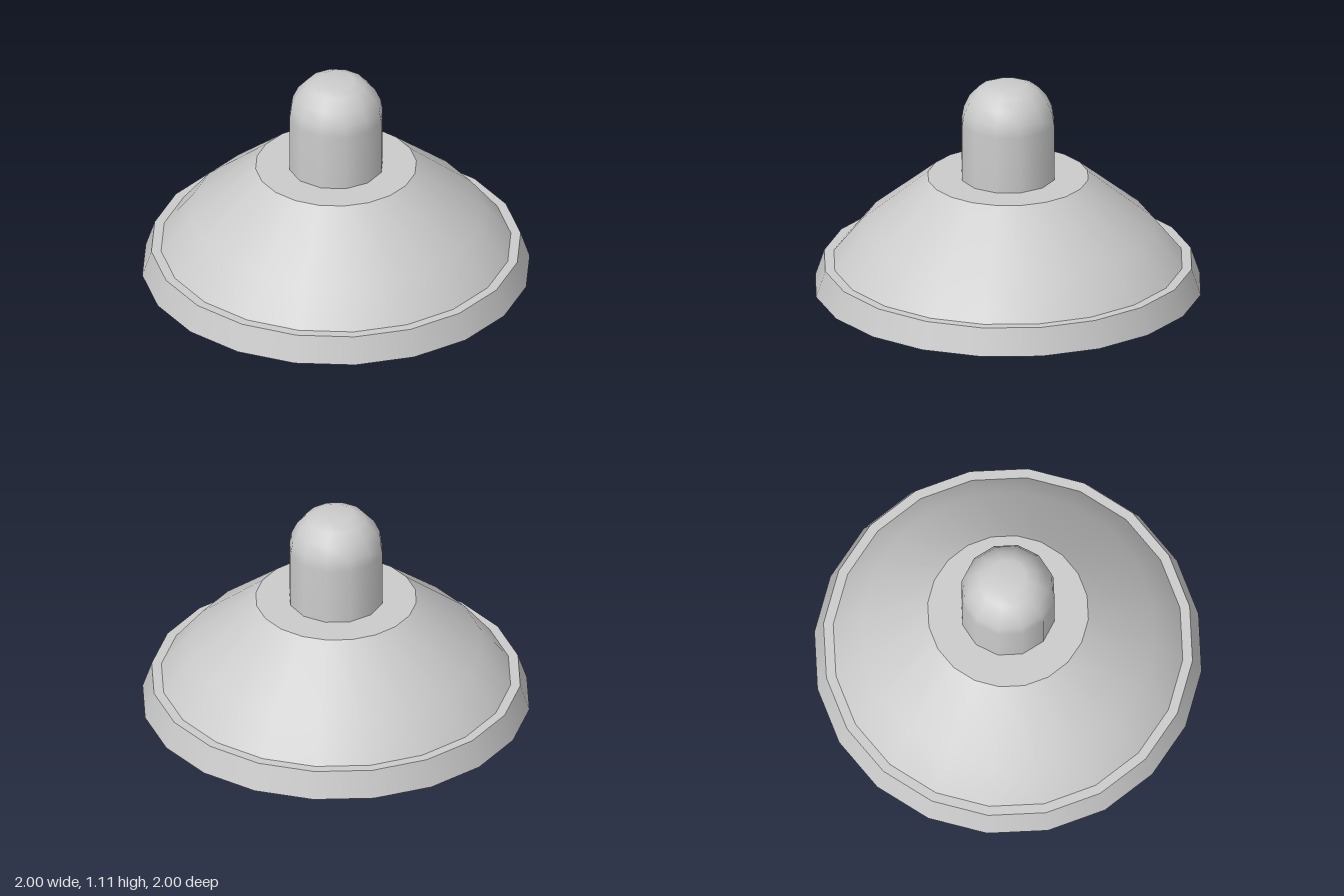
import * as THREE from 'three';

const material = new THREE.MeshStandardMaterial({ color: 0xcccccc });

// One smooth revolved band; separate bands meet in sharp edges.
function band(name, sides, profile) {
  const points = profile.map(([r, y]) => new THREE.Vector2(r, y));
  const geometry = new THREE.LatheGeometry(points, sides);
  geometry.normalizeNormals();
  const mesh = new THREE.Mesh(geometry, material);
  mesh.name = name;
  return mesh;
}

export function createModel() {
  const model = new THREE.Group();
  model.name = 'suctionCup';

  // Flared rim around the base
  const rim = new THREE.Group();
  rim.name = 'rim';
  rim.add(
    band('rimSide', 20, [[1, 0], [0.953, 0.14]]),
    band('rimTop', 20, [[0.953, 0.14], [0.903, 0.14]]),
    band('rimUnderside', 20, [[0.908, 0], [1, 0]]),
  );

  // Sloping cup with a shallow domed hollow underneath
  const cup = new THREE.Group();
  cup.name = 'cup';
  cup.add(
    band('cupOutside', 20, [[0.903, 0.14], [0.755, 0.325], [0.415, 0.603]]),
    band('cupTop', 20, [[0.415, 0.603], [0.2, 0.603]]),
    band('cupInside', 20, [[0, 0.45], [0.2, 0.44], [0.42, 0.39], [0.66, 0.28], [0.82, 0.14], [0.908, 0]]),
  );

  // Round-topped knob
  const knob = band('knob', 12, [
    [0.245, 0.603], [0.245, 0.905], [0.235, 0.965], [0.205, 1.03],
    [0.155, 1.085], [0.095, 1.11], [0, 1.11],
  ]);

  model.add(rim, cup, knob);
  return model;
}
